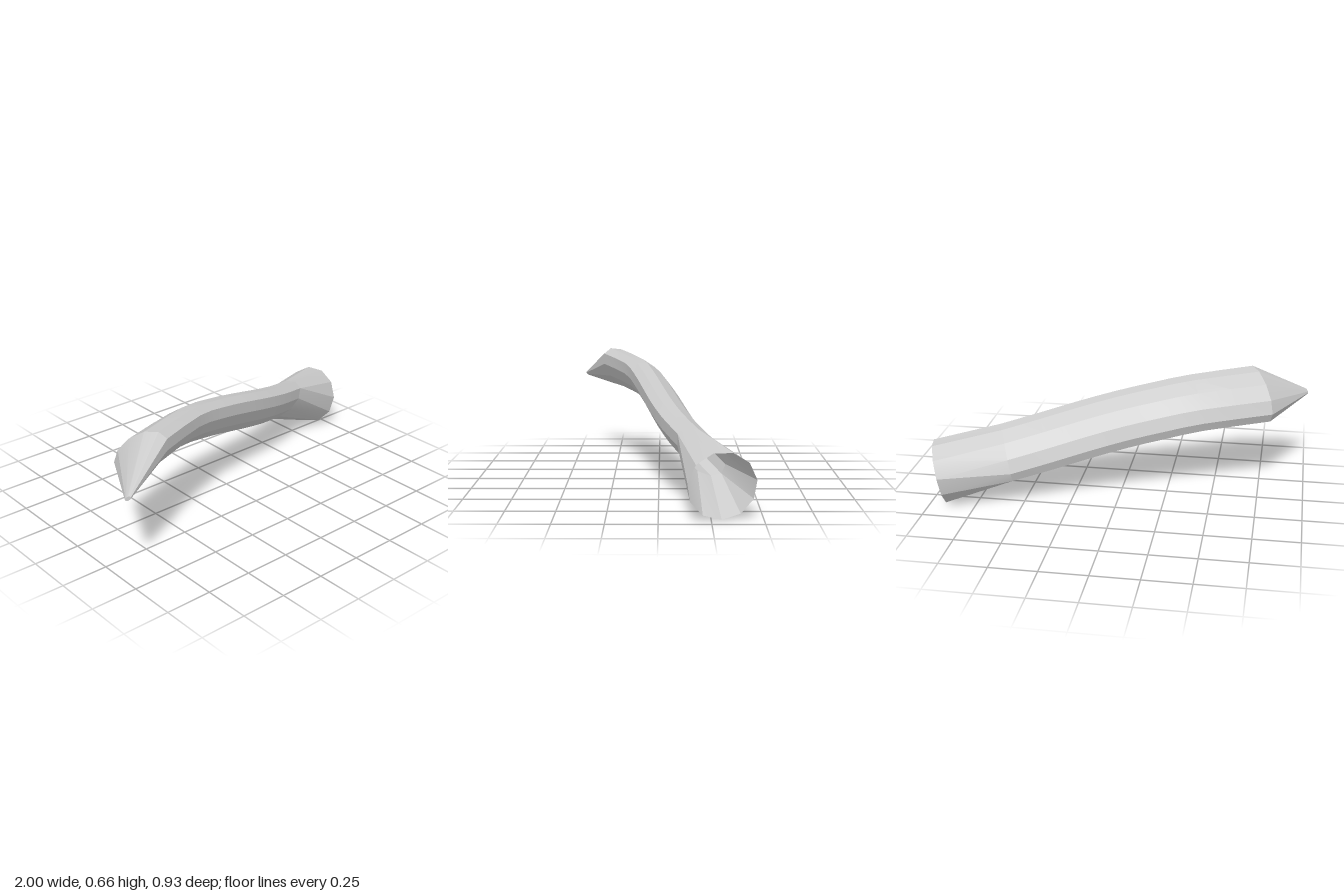
import * as THREE from 'three';
import { toCreasedNormals } from 'three/addons/utils/BufferGeometryUtils.js';

const SIDES = 11;
const STEP = (Math.PI * 2) / SIDES;
const rad = THREE.MathUtils.degToRad;

// One ring: a slanted ellipse about c. rz, ry are half sizes, phase skews the
// ellipse, start turns its corners, leanY and leanZ tilt the ring along x.
function ring({ c, rz, ry, phase, start, leanY, leanZ }) {
  return Array.from({ length: SIDES }, (_, k) => {
    const t = rad(start) + k * STEP;
    const dz = rz * Math.cos(t);
    const dy = ry * Math.cos(t - rad(phase));
    return new THREE.Vector3(c.x + leanY * dy + leanZ * dz, c.y + dy, c.z + dz);
  });
}

// Skin a list of rings; optionally close the first one
function loft(rings, closeStart) {
  const pos = rings.flat().flatMap((p) => p.toArray());
  const index = [];
  for (let i = 0; i < rings.length - 1; i++) {
    for (let k = 0; k < SIDES; k++) {
      const a = i * SIDES + k;
      const b = i * SIDES + ((k + 1) % SIDES);
      index.push(a, a + SIDES, b, b, a + SIDES, b + SIDES);
    }
  }
  if (closeStart) {
    for (let k = 1; k < SIDES - 1; k++) index.push(0, k, k + 1);
  }
  const geo = new THREE.BufferGeometry();
  geo.setAttribute('position', new THREE.Float32BufferAttribute(pos, 3));
  geo.setIndex(index);
  return toCreasedNormals(geo, 0.3);
}

export function createModel() {
  const group = new THREE.Group();
  group.name = 'horn';
  const material = new THREE.MeshStandardMaterial({ color: 0xcccccc, side: THREE.DoubleSide });
  const v = (x, y, z) => new THREE.Vector3(x, y, z);

  // Centre line of the body, and the ring tilt (leanY, leanZ) along it
  const path = new THREE.CatmullRomCurve3([
    v(-0.735, 0.53, 0.215), v(-0.4, 0.507, 0.08), v(-0.2, 0.47, 0.022), v(0, 0.424, -0.025),
    v(0.2, 0.37, -0.075), v(0.4, 0.315, -0.137), v(0.6, 0.267, -0.212),
  ], false, 'catmullrom', 0.5);
  const lean = new THREE.CatmullRomCurve3([
    v(0, 0.62, 0), v(0.12, 0.36, 0), v(0.2, 0.27, 0), v(0.23, 0.24, 0),
    v(0.24, 0.25, 0), v(0.22, 0.28, 0), v(0.19, 0.29, 0),
  ], false, 'catmullrom', 0.5);

  const body = [];
  for (let i = 0; i <= 12; i++) {
    const u = i / 12;
    const l = lean.getPoint(u);
    body.push(ring({
      c: path.getPoint(u), rz: 0.124, ry: 0.133, phase: 57, start: 16.4, leanY: l.x, leanZ: l.y,
    }));
  }

  // Small blunt point and wide open mouth
  const tip = ring({
    c: v(-0.99, 0.474, 0.455), rz: 0.012, ry: 0.013, phase: 57, start: 16.4, leanY: 0, leanZ: 0.8,
  });
  const mouth = ring({
    c: v(0.95, 0.17, -0.3), rz: 0.167, ry: 0.17, phase: 90, start: 41, leanY: 0.21, leanZ: 0.21,
  });

  const parts = [
    ['point', [tip, body[0]], true],
    ['body', body, false],
    ['flaredMouth', [body[12], mouth], false],
  ];
  for (const [name, rings, closed] of parts) {
    const mesh = new THREE.Mesh(loft(rings, closed), material);
    mesh.name = name;
    group.add(mesh);
  }
  return group;
}
